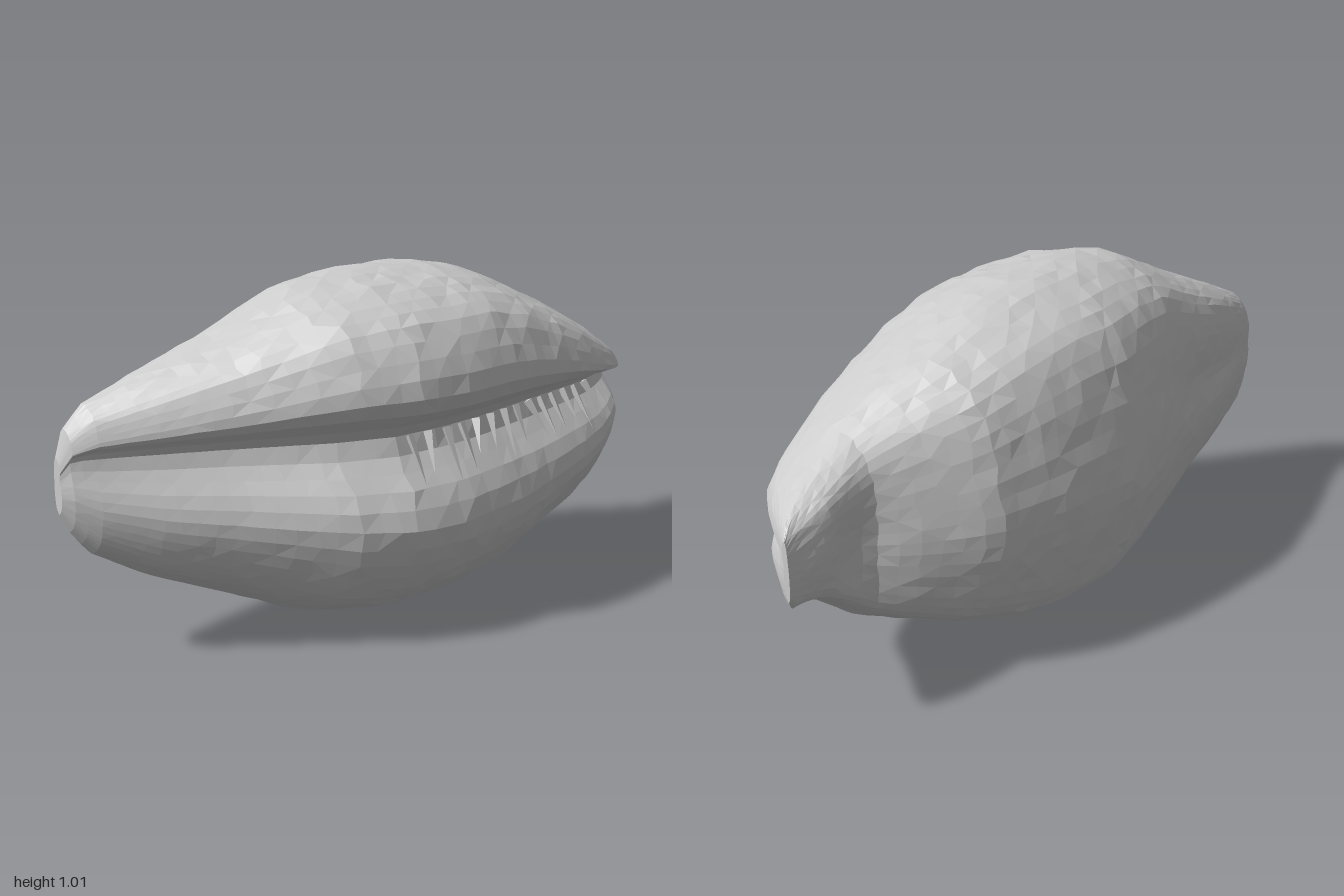
import * as THREE from 'three';

// Stations along the shell: x, top y, bottom y, back z, front z, slit depth factor
const STATIONS = [
  [-1.0, 0.58, 0.43, -0.145, -0.105, 1.3],
  [-0.98, 0.65, 0.385, -0.16, -0.08, 1.4],
  [-0.93, 0.71, 0.315, -0.18, -0.04, 1.4],
  [-0.78, 0.78, 0.225, -0.215, 0.06, 1.3],
  [-0.6, 0.855, 0.15, -0.25, 0.17, 1.2],
  [-0.37, 0.97, 0.045, -0.31, 0.325, 1.1],
  [-0.2, 1.0, 0.01, -0.36, 0.39, 1],
  [-0.03, 1.003, 0, -0.4, 0.395, 1],
  [0.12, 1.0, 0.01, -0.39, 0.37, 1],
  [0.28, 0.965, 0.035, -0.37, 0.335, 1.1],
  [0.47, 0.89, 0.105, -0.32, 0.285, 1.2],
  [0.6, 0.825, 0.16, -0.23, 0.245, 1.4],
  [0.71, 0.765, 0.215, -0.16, 0.2, 1.6],
  [0.8, 0.715, 0.295, -0.155, 0.16, 1.8],
  [0.87, 0.68, 0.355, -0.15, 0.11, 1.9],
  [0.93, 0.65, 0.385, -0.135, 0.03, 1.8],
  [0.975, 0.625, 0.395, -0.125, -0.05, 1.5],
  [1.0, 0.6, 0.43, -0.12, -0.1, 1.2],
];

// Unit cross-section (u = depth, v = height): slit, upper lip, back, lower lip
const SECTION = [
  [0.66, 0.12], [0.76, 0.2], [0.95, 0.3], [1, 0.42], [0.82, 0.74], [0.5, 0.9],
  [0.15, 0.98], [-0.13, 1], [-0.37, 0.95], [-0.68, 0.8], [-0.82, 0.62], [-0.92, 0.35],
  [-1, -0.08], [-0.93, -0.42], [-0.74, -0.78], [-0.3, -0.95], [-0.1, -1], [0.17, -0.96],
  [0.63, -0.8], [0.9, -0.53], [0.97, -0.33], [0.88, -0.15], [0.7, 0.02],
];

const RINGS = 48, SIDES = 60;
const bump = (x, centre, width) => Math.exp(-(((x - centre) / width) ** 2));
const noise = (a, b) => {
  const s = Math.sin(a * 127.1 + b * 311.7) * 43758.5453;
  return s - Math.floor(s) - 0.5;
};

// Linear reading of the station table
function stationAt(x) {
  let i = 0;
  while (i < STATIONS.length - 2 && x > STATIONS[i + 1][0]) i++;
  const a = STATIONS[i], b = STATIONS[i + 1];
  const t = (x - a[0]) / (b[0] - a[0]);
  return a.map((value, k) => value + (b[k] - value) * t);
}

// Places a unit section point on the shell at position x
function surfacePoint(x, u, v) {
  const [, top, bottom, back, front, slit] = stationAt(x);
  const middle = (top + bottom) / 2, half = (top - bottom) / 2;
  const inLips = u > 0 ? bump(v, 0.1, 0.2) : 0;
  const nearSlit = u > 0 ? bump(v, 0.1, 0.3) : 0;
  const depth = u - inLips * (slit - 1) * 0.35;
  // The slit keeps its height and stays open towards both ends
  const spread = 0.5 * x * x * nearSlit * (v - 0.1);
  const lift = Math.min(0.57 - middle - 0.1 * half, 0.25 * half) * nearSlit;
  const y = middle + (v + spread) * half + lift;
  let z = (front + back) / 2 + depth * (front - back) / 2;
  if (u < 0) {
    z += 0.05 * bump(x, 0.78, 0.09) * bump(v, -0.1, 0.6); // hollow behind the spout
    z += 0.02 * bump(x, -0.62, 0.25) * bump(v, 0.1, 0.22); // crease near the blunt end
  }
  return new THREE.Vector3(x, y, z);
}

function shellGeometry() {
  const curve = new THREE.CatmullRomCurve3(
    SECTION.map(([u, v]) => new THREE.Vector3(u, v, 0)), true, 'centripetal');
  const outline = curve.getSpacedPoints(SIDES).slice(0, SIDES);
  const positions = [], index = [];
  for (let i = 0; i <= RINGS; i++) {
    // Rings sit closer together towards both ends
    const s = i / RINGS * 2 - 1;
    const x0 = 0.55 * s + 0.45 * Math.sin(s * Math.PI / 2);
    const inside = i > 0 && i < RINGS ? 1 : 0;
    outline.forEach((p, j) => {
      const x = x0 + inside * noise(i, j) * 0.024 * (1 - Math.abs(s));
      const q = surfacePoint(x, p.x, p.y);
      const rough = 1 + inside * noise(j, i + 9) * 0.015;
      positions.push(q.x, 0.5 + (q.y - 0.5) * rough, q.z * rough);
    });
  }
  for (let i = 0; i < RINGS; i++) {
    for (let j = 0; j < SIDES; j++) {
      const k = (j + 1) % SIDES;
      const a = i * SIDES + j, b = i * SIDES + k, c = a + SIDES, d = b + SIDES;
      if ((i + j) % 2) index.push(a, c, b, b, c, d);
      else index.push(a, c, d, a, d, b);
    }
  }
  // End caps fan out from a centre point
  [0, RINGS].forEach((ring) => {
    const centre = positions.length / 3;
    const p = surfacePoint(ring ? 1 : -1, 0, 0);
    positions.push(p.x, p.y, p.z);
    for (let j = 0; j < SIDES; j++) {
      const a = ring * SIDES + j, b = ring * SIDES + (j + 1) % SIDES;
      if (ring) index.push(centre, b, a);
      else index.push(centre, a, b);
    }
  });
  const geometry = new THREE.BufferGeometry();
  geometry.setAttribute('position', new THREE.Float32BufferAttribute(positions, 3));
  geometry.setIndex(index);
  geometry.computeVertexNormals();
  return geometry;
}

// Slim three-sided spike running from one surface point to another
function tooth(from, to, width, material) {
  const direction = to.clone().sub(from);
  const mesh = new THREE.Mesh(new THREE.ConeGeometry(width, direction.length(), 3), material);
  mesh.position.copy(from).add(to).multiplyScalar(0.5);
  mesh.quaternion.setFromUnitVectors(new THREE.Vector3(0, 1, 0), direction.normalize());
  mesh.name = 'tooth';
  return mesh;
}

export function createModel() {
  const material = new THREE.MeshStandardMaterial({
    color: 0xcccccc, flatShading: true, side: THREE.DoubleSide,
  });
  const model = new THREE.Group();
  model.name = 'seaShell';

  const shell = new THREE.Mesh(shellGeometry(), material);
  shell.name = 'shellBody';
  model.add(shell);

  // Uneven teeth lying on the floor of the slit, slanting more towards the spout
  const teeth = new THREE.Group();
  teeth.name = 'slitTeeth';
  for (let i = 0; i < 14; i++) {
    const x = -0.16 + i * 0.066;
    const length = 0.04 + 0.15 * (noise(i, 3) + 0.5);
    const slant = 0.06 * noise(i, 5) + 0.07 * Math.max(x, 0);
    const from = surfacePoint(x, 0.68, 0.12);
    const to = surfacePoint(x + slant, 0.74 + length * 0.9, -length);
    teeth.add(tooth(from, to, 0.014, material));
  }
  model.add(teeth);
  return model;
}
